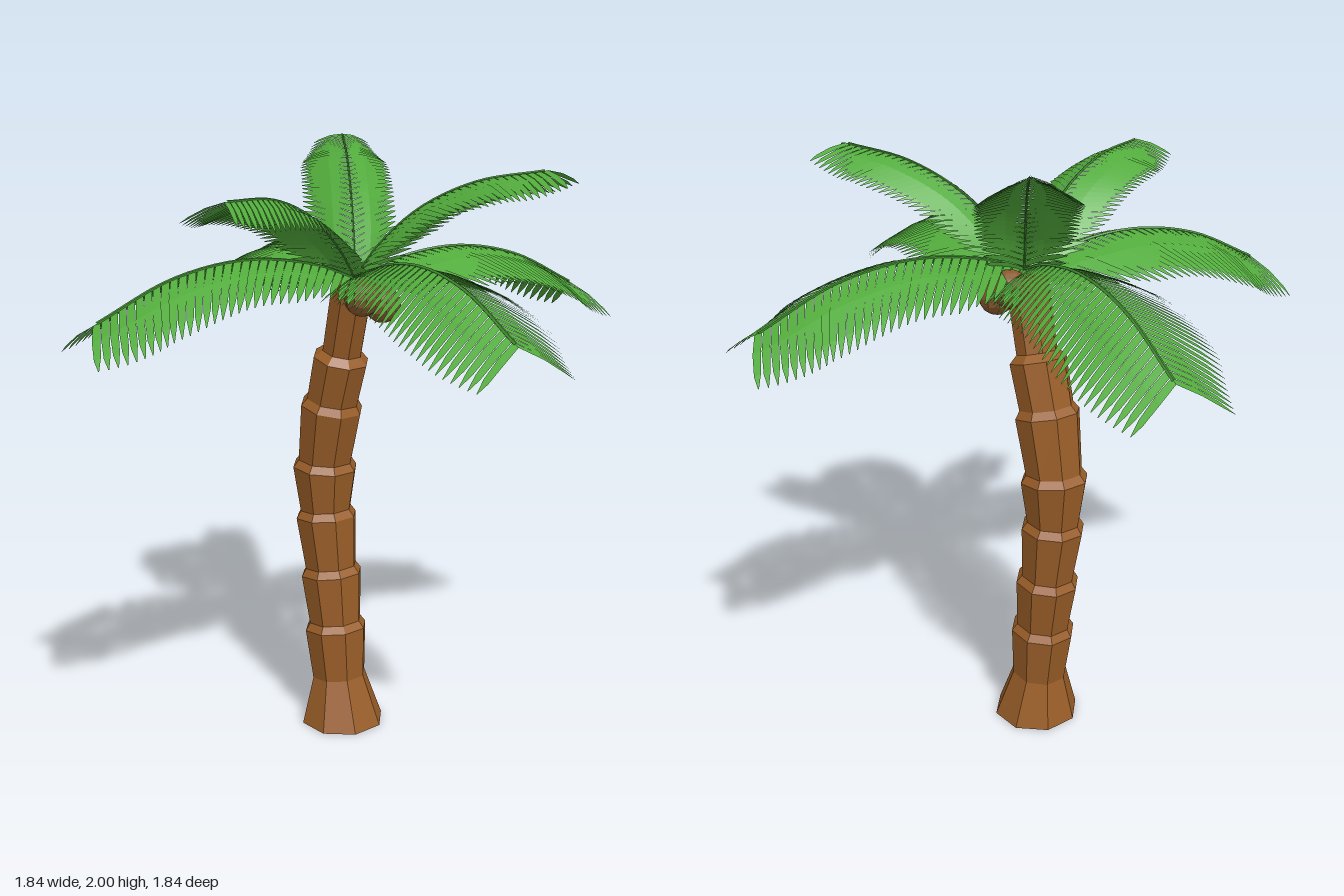
import * as THREE from 'three';

const V = (x, y, z) => new THREE.Vector3(x, y, z);
const CROWN_Y = 1.57;

function makeGeometry(positions, index) {
  const g = new THREE.BufferGeometry();
  g.setAttribute('position', new THREE.Float32BufferAttribute(positions, 3));
  g.setIndex(index);
  g.computeVertexNormals();
  return g;
}

// Leaning trunk: each segment widens upward to a lip, then steps in again
function trunkGeometry(sides = 8) {
  const joints = [ // x, y, z, radius
    [0.005, 0, -0.10, 0.145], [0, 0.165, -0.115, 0.094], [-0.005, 0.34, -0.128, 0.109],
    [-0.01, 0.535, -0.148, 0.107], [-0.02, 0.74, -0.165, 0.106], [-0.022, 0.915, -0.168, 0.112],
    [-0.015, 1.13, -0.131, 0.107], [-0.005, 1.3, -0.085, 0.094], [0, 1.555, -0.015, 0.07],
  ];
  const centre = joints.map(([x, y, z]) => V(x, y, z));
  const rings = [];
  joints.forEach(([, , , r], i) => {
    const last = joints.length - 1;
    const axis = centre[Math.min(i + 1, last)].clone().sub(centre[Math.max(i - 1, 0)]).normalize();
    if (i === 0) axis.set(0, 1, 0);
    rings.push({ c: centre[i], axis, r });
    if (i > 1 && i < last) {
      rings.push({ c: centre[i].clone().addScaledVector(axis, 0.025), axis, r: r * (i === 7 ? 0.72 : 0.84) });
    }
  });
  const pos = [], idx = [];
  for (const { c, axis, r } of rings) {
    const q = new THREE.Quaternion().setFromUnitVectors(V(0, 1, 0), axis);
    for (let j = 0; j < sides; j++) {
      const a = ((j + 0.25) / sides) * Math.PI * 2;
      const p = V(Math.cos(a) * r, 0, Math.sin(a) * r).applyQuaternion(q).add(c);
      pos.push(p.x, p.y, p.z);
    }
  }
  for (let i = 0; i < rings.length - 1; i++) {
    for (let j = 0; j < sides; j++) {
      const k = (j + 1) % sides, a = i * sides + j, b = i * sides + k;
      idx.push(a, a + sides, b, b, a + sides, b + sides);
    }
  }
  const top = (rings.length - 1) * sides;
  for (let j = 1; j < sides - 1; j++) idx.push(0, j, j + 1, top, top + j + 1, top + j);
  return makeGeometry(pos, idx);
}

// Arched midrib of a frond, running along +x
const midrib = new THREE.CatmullRomCurve3([
  V(0, 0, 0), V(0.15, 0.055, 0), V(0.38, 0.083, 0), V(0.62, 0.042, 0), V(0.86, -0.07, 0),
]);

// Two rows of drooping, forward-swept, pointed leaflets
function leafletGeometry(count = 31) {
  const pos = [], idx = [];
  const sections = [[0, 0.9], [0.4, 1], [0.78, 0.8], [1, 0.1]]; // along leaflet, width
  for (let i = 0; i < count; i++) {
    const t = i / (count - 1);
    const p = midrib.getPointAt(t), T = midrib.getTangentAt(t);
    const N = V(-T.y, T.x, 0);
    const size = Math.min(1, 0.8 + t) * (1 - 0.36 * Math.max(0, (t - 0.6) / 0.4) ** 1.5);
    for (const side of [-1, 1]) {
      const start = pos.length / 3;
      sections.forEach(([s, w], n) => {
        const c = p.clone()
          .addScaledVector(T, 0.15 * s * size)
          .addScaledVector(N, -0.11 * s ** 1.4 * size);
        c.z += side * 0.255 * size * s;
        for (const e of [-1, 1]) {
          const q = c.clone().addScaledVector(T, e * 0.0145 * w);
          pos.push(q.x, q.y, q.z);
        }
        if (n < sections.length - 1) {
          const a = start + n * 2;
          if (side > 0) idx.push(a, a + 2, a + 1, a + 1, a + 2, a + 3);
          else idx.push(a, a + 1, a + 2, a + 1, a + 3, a + 2);
        }
      });
    }
  }
  return makeGeometry(pos, idx);
}

export function createModel() {
  const model = new THREE.Group();
  model.name = 'palmTree';
  const bark = new THREE.MeshStandardMaterial({ color: 0x9a5e28, flatShading: true });
  const husk = new THREE.MeshStandardMaterial({ color: 0x8a5a30, flatShading: true });
  const leaf = new THREE.MeshStandardMaterial({ color: 0x52ab3c, flatShading: true, side: THREE.DoubleSide });
  const stem = new THREE.MeshStandardMaterial({ color: 0x458f34, flatShading: true });

  const trunk = new THREE.Mesh(trunkGeometry(), bark);
  trunk.name = 'trunk';
  model.add(trunk);

  // Coconuts under the crown
  const nut = new THREE.SphereGeometry(0.06, 10, 8);
  [[0, 1.515, 0.045], [0.08, 1.487, 0.035], [0.085, 1.54, -0.07]].forEach((p, i) => {
    const m = new THREE.Mesh(nut, husk);
    m.name = `coconut${i + 1}`;
    m.position.set(...p);
    model.add(m);
  });

  // Four level fronds and three smaller raised ones
  const leaflets = leafletGeometry();
  const rib = new THREE.TubeGeometry(midrib, 20, 0.006, 5, false);
  const fronds = [ // direction x, direction z, tilt in degrees, length, width
    [1, 0, 0, 1, 1], [-1, 0, 0, 1, 1], [0, 1, 0, 1, 1], [0, -1, 0, 1, 1],
    [0.26, -0.55, 41.5, 0.82, 0.6], [-0.63, 0.35, 28, 0.85, 0.6], [0.43, 0.48, 35, 0.8, 0.6],
  ];
  fronds.forEach(([dx, dz, tilt, length, width], i) => {
    const frond = new THREE.Group();
    frond.name = `frond${i + 1}`;
    const blades = new THREE.Mesh(leaflets, leaf);
    blades.name = 'leaflets';
    const spine = new THREE.Mesh(rib, stem);
    spine.name = 'midrib';
    frond.add(blades, spine);
    frond.position.y = CROWN_Y;
    frond.rotation.set(0, Math.atan2(-dz, dx), THREE.MathUtils.degToRad(tilt));
    frond.scale.set(length, length, width);
    model.add(frond);
  });
  return model;
}
